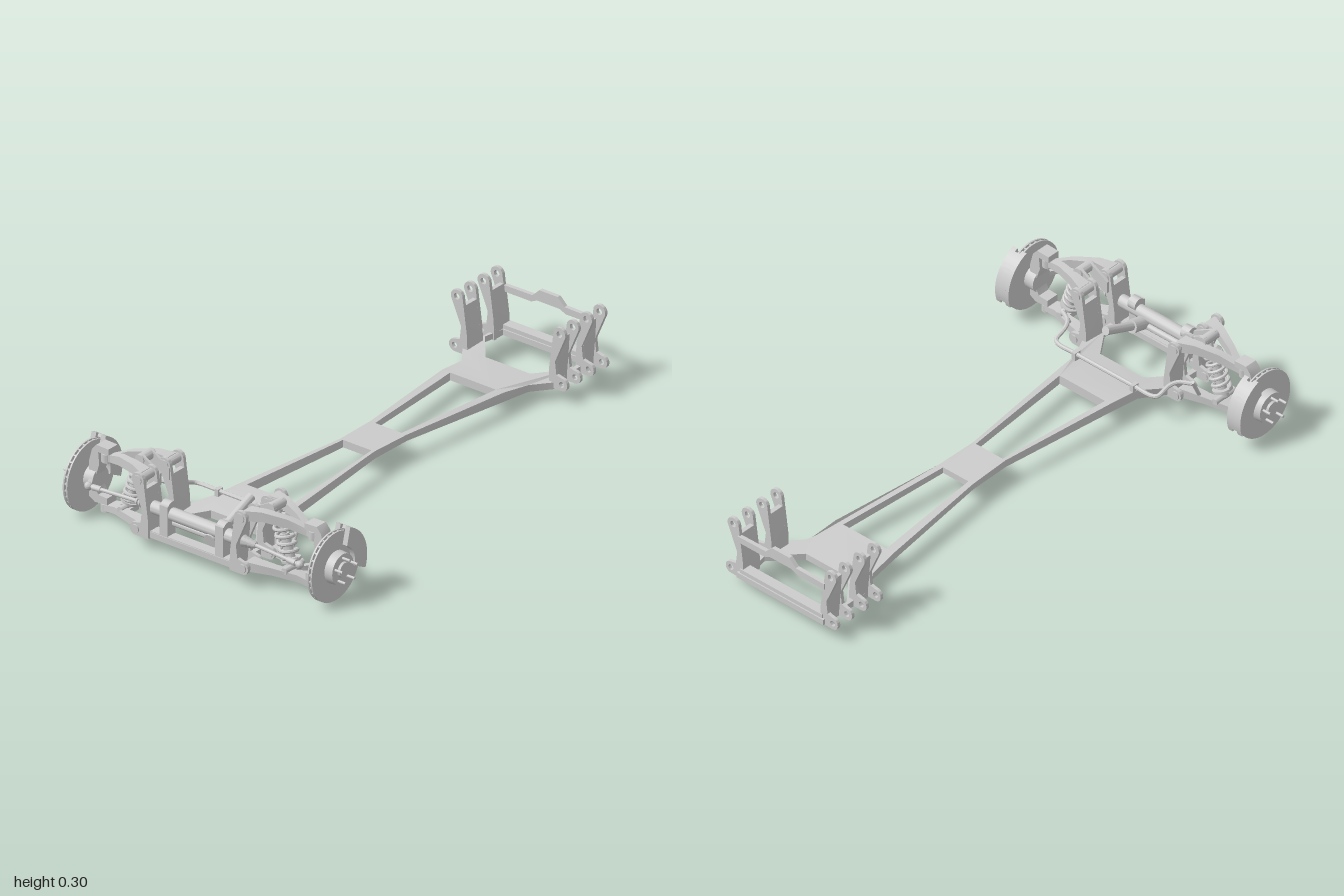
import * as THREE from 'three';
import { toCreasedNormals } from 'three/addons/utils/BufferGeometryUtils.js';

const material = new THREE.MeshStandardMaterial({ color: 0xcccccc });
const V = (x, y, z) => new THREE.Vector3(x, y, z);
const AXLE = 0.865, HUB_Y = 0.13;

// Round bar between two points, optionally tapered
function rod(a, b, r, r2 = r, sides = 20) {
  const p = V(...a), q = V(...b), d = q.clone().sub(p);
  const g = new THREE.CylinderGeometry(r2, r, d.length(), sides);
  g.applyQuaternion(new THREE.Quaternion().setFromUnitVectors(V(0, 1, 0), d.normalize()));
  const m = p.add(q).multiplyScalar(0.5);
  return g.translate(m.x, m.y, m.z);
}

function box(x, y, z, w, h, d) {
  return new THREE.BoxGeometry(w, h, d).translate(x, y, z);
}

const outline = (pts) => new THREE.Shape(pts.map((p) => new THREE.Vector2(...p)));

// Extrusion along z, centred on the given z
function slab(shape, depth, z = 0) {
  return new THREE.ExtrudeGeometry(shape, { depth, bevelEnabled: false, curveSegments: 12 })
    .translate(0, 0, z - depth / 2);
}

function roundHole(x, y, r) {
  return new THREE.Path().absarc(x, y, r, 0, Math.PI * 2, true);
}

// Rectangular beam lofted along x; each section is [x, y, z, height, width]
function beam(sections) {
  const pos = [], idx = [];
  for (const [x, y, z, h, w] of sections)
    for (const [sy, sz] of [[1, 1], [1, -1], [-1, -1], [-1, 1]]) pos.push(x, y + sy * h / 2, z + sz * w / 2);
  const n = (sections.length - 1) * 4;
  for (let i = 0; i < n; i += 4)
    for (let j = 0; j < 4; j++) {
      const a = i + j, b = i + (j + 1) % 4;
      idx.push(a, a + 4, b, b, a + 4, b + 4);
    }
  idx.push(0, 1, 2, 0, 2, 3, n, n + 2, n + 1, n, n + 3, n + 2);
  const g = new THREE.BufferGeometry();
  g.setAttribute('position', new THREE.Float32BufferAttribute(pos, 3));
  g.setIndex(idx);
  return g;
}

// Mirrored copy across x = 0 with the winding restored
function mirrored(geo) {
  const g = geo.clone().scale(-1, 1, 1);
  for (const a of Object.values(g.attributes))
    for (let i = 0; i < a.count; i += 3)
      for (let k = 0; k < a.itemSize; k++) {
        const t = a.getComponent(i + 1, k);
        a.setComponent(i + 1, k, a.getComponent(i + 2, k));
        a.setComponent(i + 2, k, t);
      }
  return g;
}

// Backbone plate with its four openings, following the height profile
function chassisPlate() {
  const half = [[0.2, -0.99], [0.2, -0.75], [0.145, -0.68], [0.135, -0.56], [0.08, -0.1], [0.075, 0.07],
    [0.13, 0.54], [0.145, 0.66], [0.2, 0.76], [0.2, 0.975]];
  const flip = (pts) => pts.map(([x, z]) => [-x, z]).reverse();
  const shape = outline([...half, ...flip(half)]);
  const holes = [
    [[0.098, -0.75], [0.19, -0.86], [0.175, -0.94]],
    [[0.1, -0.56], [0.058, -0.1]],
    [[0.062, 0.07], [0.105, 0.54]],
    [[0.1, 0.74], [0.18, 0.85], [0.18, 0.93]],
  ];
  for (const h of holes) shape.holes.push(outline([...h, ...flip(h)]));
  const g = slab(shape, 1, 0.5).rotateX(Math.PI / 2);
  // z, bottom, top
  const profile = [[-1, 0.05, 0.072], [-0.86, 0.05, 0.072], [-0.75, 0.042, 0.068], [-0.68, 0.042, 0.068],
    [-0.56, 0.055, 0.085], [-0.1, 0.068, 0.092], [0.07, 0.066, 0.095], [0.54, 0.064, 0.1],
    [0.66, 0.062, 0.098], [0.76, 0.052, 0.08], [1, 0.048, 0.07]];
  const p = g.attributes.position;
  for (let i = 0; i < p.count; i++) {
    const z = p.getZ(i), k = Math.max(1, profile.findIndex((s) => s[0] >= z));
    const [a, b] = [profile[k - 1], profile[k]], t = (z - a[0]) / (b[0] - a[0]);
    const lo = a[1] + (b[1] - a[1]) * t, hi = a[2] + (b[2] - a[2]) * t;
    p.setY(i, lo + (hi - lo) * (p.getY(i) + 1));
  }
  return g;
}

// Tower side plate with a lower and an upper eye
function towerFlange(z) {
  const s = new THREE.Shape();
  s.moveTo(0.178, 0.046);
  s.lineTo(0.235, 0.046);
  s.absarc(0.235, 0.07, 0.024, -Math.PI / 2, Math.PI / 2, false);
  s.lineTo(0.212, 0.1);
  s.lineTo(0.206, 0.15);
  s.lineTo(0.248, 0.248);
  s.absarc(0.225, 0.26, 0.026, -0.45, Math.PI, false);
  s.lineTo(0.18, 0.12);
  s.holes.push(roundHole(0.235, 0.07, 0.011), roundHole(0.225, 0.26, 0.012));
  return slab(s, 0.013, z);
}

class Helix extends THREE.Curve {
  constructor(a, b, radius, turns) { super(); Object.assign(this, { a, b, radius, turns }); }
  getPoint(t) {
    const d = this.b.clone().sub(this.a).normalize(), u = V(d.y, -d.x, 0), w = t * this.turns * Math.PI * 2;
    return this.a.clone().lerp(this.b, t).addScaledVector(u, Math.cos(w) * this.radius)
      .add(V(0, 0, Math.sin(w) * this.radius));
  }
}

export function createModel() {
  const model = new THREE.Group();
  const put = (name, g) => {
    const m = new THREE.Mesh(g, material);
    m.name = name;
    model.add(m);
  };
  const add = (name, geo) => put(name, toCreasedNormals(geo, 0.6));
  const pair = (name, geo) => {
    const g = toCreasedNormals(geo, 0.6);
    put(name + 'Left', g);
    put(name + 'Right', mirrored(g));
  };

  add('chassisPlate', chassisPlate());

  // Suspension towers at both ends
  for (const end of [1, -1])
    for (const off of [-0.07, 0.075]) {
      const z = end * 0.868 + off;
      for (const s of [-1, 1]) pair('towerFlange', towerFlange(z + s * 0.036));
      pair('towerWeb', slab(outline([[0.178, 0.048], [0.198, 0.048], [0.207, 0.15], [0.212, 0.23], [0.195, 0.23], [0.18, 0.12]]), 0.07, z));
    }

  // Rear upper cross brace with a raised centre
  add('rearCrossBrace', slab(outline([[-0.2, 0.2], [-0.075, 0.2], [-0.05, 0.212], [0.05, 0.212], [0.075, 0.2], [0.2, 0.2],
    [0.2, 0.224], [0.07, 0.226], [0.04, 0.255], [-0.04, 0.255], [-0.07, 0.226], [-0.2, 0.224]]), 0.016, -0.978));
  add('rearCrossMember', box(0, 0.07, -0.965, 0.38, 0.035, 0.04));
  add('frontCrossMember', box(0, 0.062, 0.955, 0.38, 0.024, 0.035));

  // Control arms, each with two legs meeting at a ball joint
  for (const z of [0.798, 0.943]) {
    const mix = (t) => z + (AXLE - z) * t;
    pair('upperArm', beam([[0.225, 0.26, z, 0.04, 0.05], [0.285, 0.267, mix(0.2), 0.036, 0.034],
      [0.37, 0.252, mix(0.65), 0.034, 0.028], [0.43, 0.23, AXLE, 0.028, 0.03], [0.47, 0.225, AXLE, 0.024, 0.03]]));
    pair('lowerArm', beam([[0.235, 0.07, z, 0.036, 0.05], [0.32, 0.065, mix(0.3), 0.028, 0.034],
      [0.4, 0.048, mix(0.8), 0.026, 0.03], [0.47, 0.033, AXLE, 0.022, 0.035]]));
    pair('upperPivot', rod([0.225, 0.26, z - 0.047], [0.225, 0.26, z + 0.047], 0.018));
    pair('lowerPivot', rod([0.235, 0.07, z - 0.047], [0.235, 0.07, z + 0.047], 0.016));
  }
  pair('lowerArmBridge', beam([[0.335, 0.062, AXLE, 0.02, 0.1], [0.4, 0.048, AXLE, 0.02, 0.05]]));
  pair('upperBallJoint', rod([0.455, 0.208, AXLE], [0.455, 0.24, AXLE], 0.021));
  pair('lowerBallJoint', rod([0.457, 0.018, AXLE], [0.457, 0.046, AXLE], 0.021));
  pair('ballStem', rod([0.455, 0.235, AXLE], [0.455, 0.26, AXLE], 0.01));
  pair('ballStem', rod([0.457, 0.04, AXLE], [0.457, 0.065, AXLE], 0.01));

  // Coil-over shock with its top mount
  const along = (t) => [0.36 - 0.07 * t, 0.07 + 0.21 * t, AXLE];
  pair('shockBody', rod(along(0), along(0.55), 0.017));
  pair('shockShaft', rod(along(0.5), along(1), 0.009));
  pair('springSeat', rod(along(0.1), along(0.14), 0.036));
  pair('springSeat', rod(along(0.8), along(0.86), 0.034, 0.022));
  pair('spring', new THREE.TubeGeometry(new Helix(V(...along(0.14)), V(...along(0.8)), 0.03, 5.5), 130, 0.0065, 7));
  pair('shockTopEye', rod([0.287, 0.282, AXLE - 0.035], [0.287, 0.282, AXLE + 0.035], 0.019));
  pair('shockLowerPin', rod([0.36, 0.07, AXLE - 0.05], [0.36, 0.07, AXLE + 0.05], 0.012));
  for (const s of [-1, 1])
    pair('shockMount', slab(outline([[0.2, 0.21], [0.225, 0.21], [0.3, 0.268], [0.306, 0.285], [0.295, 0.3], [0.278, 0.3], [0.2, 0.255]]), 0.01, AXLE + s * 0.025));

  // Knuckle, hub, brake disc and caliper
  pair('knuckle', slab(outline([[0.43, 0.246], [0.475, 0.246], [0.47, 0.2], [0.486, 0.15], [0.488, 0.11], [0.475, 0.082],
    [0.435, 0.08], [0.435, 0.054], [0.49, 0.05], [0.515, 0.065], [0.515, 0.2], [0.502, 0.25], [0.483, 0.272], [0.43, 0.27]]), 0.05, AXLE));
  const onAxle = (x0, x1, r, r2, n) => rod([x0, HUB_Y, AXLE], [x1, HUB_Y, AXLE], r, r2, n);
  pair('hubCarrier', onAxle(0.485, 0.525, 0.045));
  for (const x of [0.526, 0.54]) pair('brakeDisc', onAxle(x, x + 0.006, 0.13, 0.13, 48));
  for (let i = 0; i < 30; i++)
    pair('discVane', box(0, 0.105, 0, 0.009, 0.046, 0.006).rotateX(i * Math.PI / 15).translate(0.536, HUB_Y, AXLE));
  pair('discHat', onAxle(0.53, 0.578, 0.062, 0.058, 32));
  pair('hubNose', onAxle(0.575, 0.587, 0.03, 0.027));
  for (let i = 0; i < 5; i++) {
    const a = i * Math.PI * 0.4 + Math.PI / 2, y = HUB_Y + 0.043 * Math.sin(a), z = AXLE + 0.043 * Math.cos(a);
    pair('wheelStud', rod([0.57, y, z], [0.61, y, z], 0.005, 0.005, 10));
  }
  const arc = new THREE.Shape();
  arc.absarc(0, 0, 0.146, 1.95, 3.5, false);
  arc.absarc(0, 0, 0.08, 3.4, 2.05, true);
  for (const x of [0.515, 0.557])
    pair('caliper', slab(arc, 0.02).rotateY(-Math.PI / 2).translate(x, HUB_Y, AXLE));
  const bridge = new THREE.Shape();
  bridge.absarc(0, 0, 0.146, 2.05, 3.4, false);
  bridge.absarc(0, 0, 0.133, 3.4, 2.05, true);
  pair('caliperBridge', slab(bridge, 0.03).rotateY(-Math.PI / 2).translate(0.536, HUB_Y, AXLE));

  // Steering rack, clamps, boots and tie rods
  const RZ = 0.945, RY = 0.152;
  add('steeringRack', rod([-0.2, RY, RZ], [0.2, RY, RZ], 0.024));
  add('rackCylinder', rod([-0.12, 0.115, RZ - 0.01], [0.09, 0.115, RZ - 0.01], 0.013));
  pair('rackClamp', box(0.122, 0.125, RZ + 0.005, 0.034, 0.125, 0.045));
  pair('rackClampCap', rod([0.105, 0.175, RZ], [0.139, 0.175, RZ], 0.025));
  for (let i = 0; i < 5; i++)
    pair('rackBoot', rod([0.195 + i * 0.014, RY, RZ], [0.207 + i * 0.014, RY, RZ], 0.024 - i * 0.002, 0.018 - i * 0.002));
  pair('tieRod', rod([0.25, RY, RZ], [0.46, 0.148, 0.957], 0.007));
  pair('tieRodSleeve', rod([0.41, 0.149, 0.954], [0.445, 0.148, 0.956], 0.011));
  pair('tieRodEnd', new THREE.SphereGeometry(0.015, 16, 10).translate(0.463, 0.148, 0.957));
  pair('steeringArm', beam([[0.458, 0.138, 0.957, 0.014, 0.022], [0.48, 0.135, 0.93, 0.018, 0.03], [0.505, 0.13, 0.88, 0.03, 0.04]]));
  add('pinionHousing', rod([0.075, 0.115, 0.965], [0.075, 0.14, 0.87], 0.025));
  add('steeringShaft', rod([0.075, 0.138, 0.88], [0.075, 0.195, 0.74], 0.016));

  // Anti-roll bar with chassis clamps and drop links
  const side = [[0.3, 0.145, 0.77], [0.255, 0.142, 0.745], [0.24, 0.135, 0.715], [0.235, 0.117, 0.665], [0.215, 0.114, 0.655], [0.14, 0.114, 0.655]];
  const path = [...side.map((p) => V(...p)), ...side.map(([x, y, z]) => V(-x, y, z)).reverse()];
  add('antiRollBar', new THREE.TubeGeometry(new THREE.CatmullRomCurve3(path, false, 'centripetal'), 90, 0.008, 8));
  pair('antiRollClamp', box(0.135, 0.107, 0.655, 0.016, 0.034, 0.028));
  pair('dropLink', rod([0.3, 0.15, 0.77], [0.3, 0.065, 0.81], 0.007));
  return model;
}
